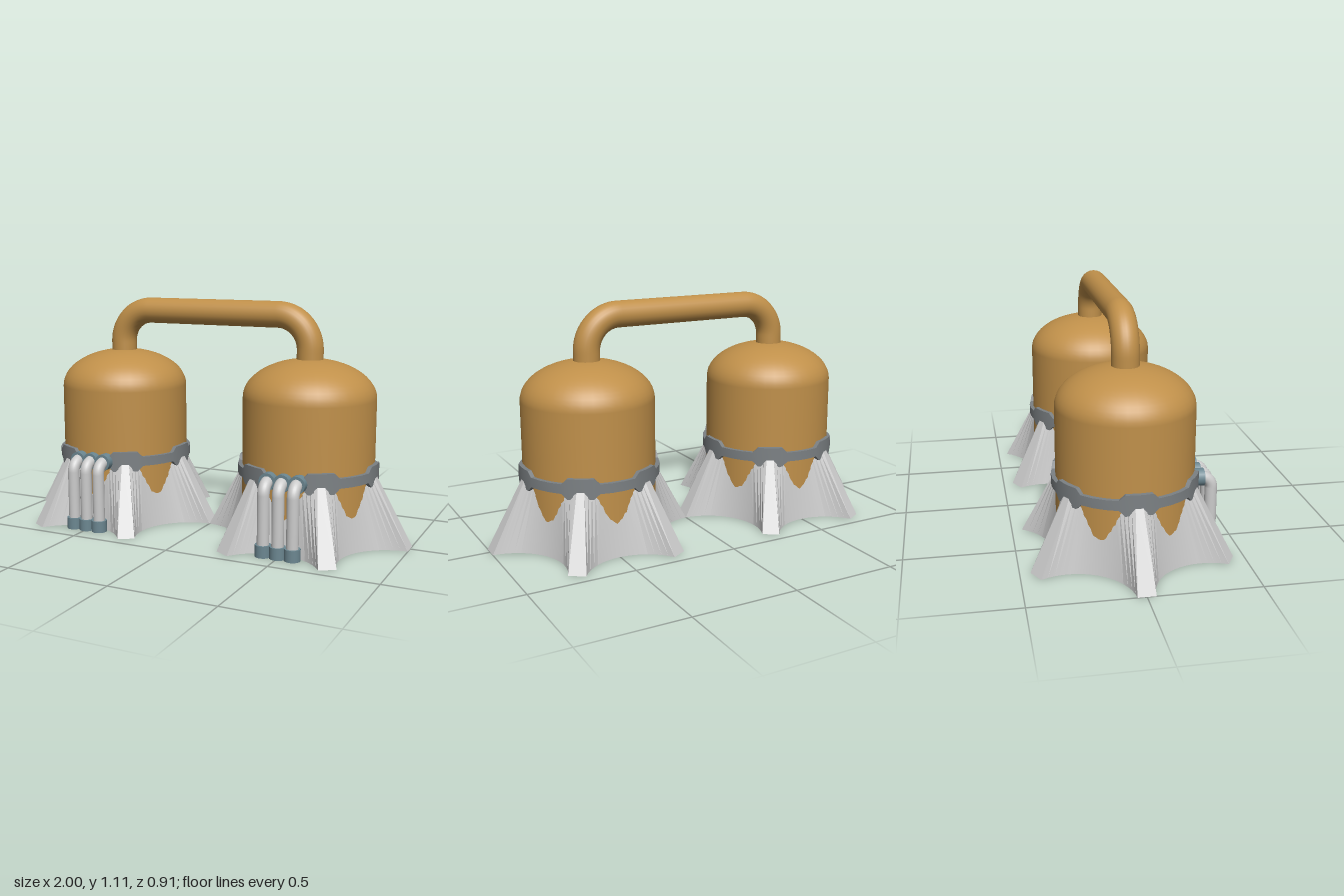
import * as THREE from 'three';
import { toCreasedNormals } from 'three/addons/utils/BufferGeometryUtils.js';

const orange = new THREE.MeshStandardMaterial({ color: 0xc0904a });
const grey = new THREE.MeshStandardMaterial({ color: 0xcccccc });
const darkGrey = new THREE.MeshStandardMaterial({ color: 0x7c8184 });
const blueGrey = new THREE.MeshStandardMaterial({ color: 0x6c8791 });

function part(name, geometry, material, x = 0, y = 0, z = 0) {
  const mesh = new THREE.Mesh(geometry, material);
  mesh.name = name;
  mesh.position.set(x, y, z);
  return mesh;
}

// Joins a closed ring of cross-sections (arrays of Vector3) around the y axis
function ringLoft(sections, closedSection, crease) {
  const pos = [];
  const tri = (a, b, c) => {
    if (a.distanceTo(b) < 1e-6 || b.distanceTo(c) < 1e-6 || c.distanceTo(a) < 1e-6) return;
    for (const p of [a, b, c]) pos.push(p.x, p.y, p.z);
  };
  sections.forEach((s, j) => {
    const t = sections[(j + 1) % sections.length];
    const count = closedSection ? s.length : s.length - 1;
    for (let i = 0; i < count; i++) {
      const k = (i + 1) % s.length;
      tri(s[i], s[k], t[k]);
      tri(s[i], t[k], t[i]);
    }
  });
  const geometry = new THREE.BufferGeometry();
  geometry.setAttribute('position', new THREE.Float32BufferAttribute(pos, 3));
  return toCreasedNormals(geometry, crease);
}

// Six-pointed outline: flat leg tips joined by concave arcs
function starOutline(tip, halfWidth, valley, y) {
  const points = [];
  const c = Math.cos(Math.PI / 6), s = 0.5;
  const chord = tip * c + halfWidth * s;
  const half = tip * s - halfWidth * c;
  const sag = chord - valley;
  const radius = (half * half + sag * sag) / (2 * sag);
  const sweep = Math.asin(Math.min(1, half / radius));
  const steps = 16;
  for (let leg = 0; leg < 6; leg++) {
    const mid = (leg + 0.5) * Math.PI / 3;
    for (let i = 0; i <= steps; i++) {
      const a = sweep * (2 * i / steps - 1);
      const u = valley + radius - radius * Math.cos(a);
      const v = radius * Math.sin(a);
      points.push(new THREE.Vector3(
        u * Math.cos(mid) - v * Math.sin(mid), y, u * Math.sin(mid) + v * Math.cos(mid)));
    }
  }
  return points;
}

function baseGeometry() {
  const height = 0.325;
  const low = starOutline(0.5, 0.04, 0.335, 0);
  const high = starOutline(0.328, 0.017, 0.287, height);
  const sections = low.map((p, i) => [
    new THREE.Vector3(0, 0, 0), p, high[i], new THREE.Vector3(0, height, 0)]);
  return ringLoft(sections, false, 0.5);
}

// Band that widens into a chamfered clamp over each leg
function bandGeometry() {
  const outline = [[-15, 0.0225], [-10.5, 0.0475], [-3.5, 0.0475], [3.5, 0.0475],
    [10.5, 0.0475], [15, 0.0225], [25, 0.0225], [35, 0.0225]];
  const sections = [];
  for (let leg = 0; leg < 6; leg++) {
    for (const [deg, h] of outline) {
      const a = THREE.MathUtils.degToRad(leg * 60 + deg);
      const at = (r, y) => new THREE.Vector3(r * Math.cos(a), y, r * Math.sin(a));
      sections.push([at(0.332, -h), at(0.332, h), at(0.3, h), at(0.3, -h)]);
    }
  }
  return ringLoft(sections, true, 0.4);
}

function tankGeometry() {
  const profile = [new THREE.Vector2(0.3125, 0.05)];
  for (let i = 0; i <= 14; i++) {
    const a = i / 14 * Math.PI / 2;
    profile.push(new THREE.Vector2(0.3125 * Math.cos(a), 0.67 + 0.182 * Math.sin(a)));
  }
  return new THREE.LatheGeometry(profile, 40);
}

// Tube along straight runs with rounded corners
function bentPipe(points, bend, radius, segments) {
  const path = new THREE.CurvePath();
  let from = points[0];
  for (let i = 1; i < points.length - 1; i++) {
    const p = points[i];
    const back = points[i - 1].clone().sub(p).setLength(bend);
    const ahead = points[i + 1].clone().sub(p).setLength(bend);
    const start = p.clone().add(back), end = p.clone().add(ahead);
    const k = 1 - 0.5523;
    path.add(new THREE.LineCurve3(from, start));
    path.add(new THREE.CubicBezierCurve3(start, p.clone().addScaledVector(back, k),
      p.clone().addScaledVector(ahead, k), end));
    from = end;
  }
  path.add(new THREE.LineCurve3(from, points[points.length - 1]));
  return new THREE.TubeGeometry(path, segments, radius, 24, false);
}

function drainPipe(x) {
  const group = new THREE.Group();
  group.name = 'drainPipe';
  const z = 0.382, y = 0.332;
  const geometry = bentPipe([new THREE.Vector3(0, 0.01, z), new THREE.Vector3(0, y, z),
    new THREE.Vector3(0, y, 0.31)], 0.05, 0.028, 48);
  const flange = new THREE.CylinderGeometry(0.04, 0.04, 0.045, 20).rotateX(Math.PI / 2);
  group.add(
    part('pipe', geometry, grey),
    part('flange', flange, blueGrey, 0, y, 0.323),
    part('footCollar', new THREE.CylinderGeometry(0.037, 0.037, 0.055, 20), blueGrey, 0, 0.0275, z));
  group.position.x = x;
  return group;
}

function tower(x) {
  const group = new THREE.Group();
  group.name = x > 0 ? 'leftTower' : 'rightTower';
  group.add(
    part('tank', tankGeometry(), orange),
    part('base', baseGeometry(), grey),
    part('clampBand', bandGeometry(), darkGrey, 0, 0.3325, 0));
  for (const offset of [-0.07, 0, 0.07]) group.add(drainPipe(offset));
  group.position.x = x;
  return group;
}

export function createModel() {
  const model = new THREE.Group();
  model.name = 'twinTanks';
  model.add(tower(-0.5), tower(0.5));

  // Pipe bridging the two domes
  const corners = [[-0.5, 0.8], [-0.5, 1.05], [0.5, 1.05], [0.5, 0.8]]
    .map(([x, y]) => new THREE.Vector3(x, y, 0));
  model.add(part('connectingPipe', bentPipe(corners, 0.16, 0.0625, 100), orange));
  return model;
}
